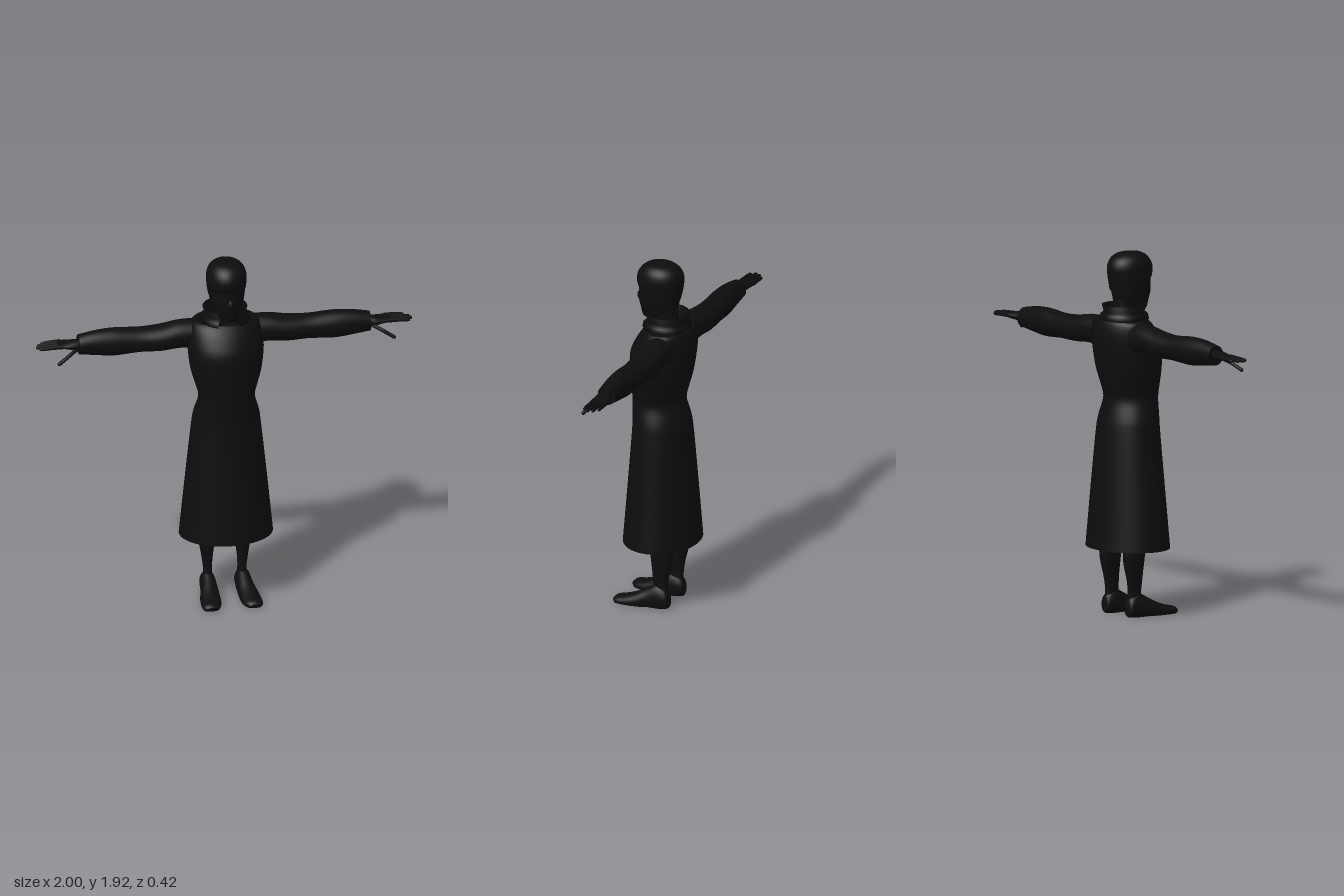
import * as THREE from 'three';

// Axis layout: along, u and v component indices (u x v = along)
const AXES = { x: [0, 1, 2], y: [1, 2, 0], z: [2, 0, 1] };

// Smooth elliptical loft. Each ring: [along, uMin, uMax, vMin, vMax].
function loft(axis, rings, { sub = 4, seg = 32, caps = [true, true] } = {}) {
  const [ia, iu, iv] = AXES[axis];
  const pos = [], index = [], rows = [];
  const steps = (rings.length - 1) * sub;
  const at = (k, t) => {
    const i = Math.min(Math.floor(t), rings.length - 2), f = t - i;
    const p = (j) => rings[Math.max(0, Math.min(rings.length - 1, j))][k];
    const m0 = (p(i + 1) - p(i - 1)) / 2, m1 = (p(i + 2) - p(i)) / 2, d = p(i + 1) - p(i);
    return p(i) + f * m0 + f * f * (3 * d - 2 * m0 - m1) + f * f * f * (m0 + m1 - 2 * d);
  };
  const vertex = (a, u, v) => {
    const p = [0, 0, 0];
    p[ia] = a; p[iu] = u; p[iv] = v;
    pos.push(...p);
  };
  const ring = (r) => {
    for (let j = 0; j < seg; j++) {
      const a = (j / seg) * Math.PI * 2;
      vertex(r[0], (r[1] + r[2]) / 2 + Math.cos(a) * (r[2] - r[1]) / 2,
        (r[3] + r[4]) / 2 + Math.sin(a) * (r[4] - r[3]) / 2);
    }
  };
  for (let s = 0; s <= steps; s++) {
    const r = [0, 1, 2, 3, 4].map((k) => at(k, s / sub));
    rows.push(r);
    ring(r);
  }
  for (let s = 0; s < steps; s++) for (let j = 0; j < seg; j++) {
    const a = s * seg + j, b = s * seg + (j + 1) % seg;
    index.push(a, b, b + seg, a, b + seg, a + seg);
  }
  // Flat end caps with their own rim
  [rows[0], rows[steps]].forEach((r, end) => {
    if (!caps[end]) return;
    const start = pos.length / 3;
    ring(r);
    vertex(r[0], (r[1] + r[2]) / 2, (r[3] + r[4]) / 2);
    for (let j = 0; j < seg; j++) {
      const a = start + j, b = start + (j + 1) % seg;
      index.push(start + seg, end ? a : b, end ? b : a);
    }
  });
  const g = new THREE.BufferGeometry();
  g.setAttribute('position', new THREE.Float32BufferAttribute(pos, 3));
  g.setIndex(index);
  g.computeVertexNormals();
  return g;
}

export function createModel() {
  const model = new THREE.Group();
  model.name = 'coatedFigure';
  const black = new THREE.MeshStandardMaterial({ color: 0x0d0d0d, side: THREE.DoubleSide });
  black.name = 'nearBlack';
  const add = (parent, name, geometry) => {
    const mesh = new THREE.Mesh(geometry, black);
    mesh.name = name;
    parent.add(mesh);
    return mesh;
  };

  // Long coat, open at the hem
  add(model, 'coat', loft('y', [
    [0.36, -0.21, 0.19, -0.248, 0.248],
    [0.70, -0.185, 0.165, -0.214, 0.214],
    [0.98, -0.163, 0.146, -0.184, 0.184],
    [1.06, -0.15, 0.145, -0.172, 0.172],
    [1.15, -0.13, 0.15, -0.148, 0.148],
    [1.22, -0.142, 0.153, -0.163, 0.163],
    [1.31, -0.165, 0.156, -0.188, 0.188],
    [1.42, -0.182, 0.155, -0.2, 0.2],
    [1.50, -0.186, 0.12, -0.196, 0.196],
    [1.55, -0.178, 0.085, -0.185, 0.185],
    [1.57, -0.168, 0.065, -0.165, 0.165],
  ], { seg: 48, caps: [false, true] }));

  // Turned-up collar, open at the front
  const collarProfile = [[0.09, 1.56], [0.13, 1.57], [0.125, 1.595], [0.107, 1.61],
    [0.117, 1.645], [0.1, 1.645], [0.09, 1.56]].map(([r, y]) => new THREE.Vector2(r, y));
  add(model, 'collar', new THREE.LatheGeometry(collarProfile, 40, 0.45, Math.PI * 2 - 0.9))
    .position.z = -0.035;

  // Neck, face and hair
  const head = new THREE.Group();
  head.name = 'head';
  model.add(head);
  add(head, 'neck', loft('y', [
    [1.54, -0.11, 0.03, -0.065, 0.065],
    [1.62, -0.095, 0.03, -0.06, 0.06],
    [1.70, -0.095, 0.04, -0.065, 0.065],
  ]));
  add(head, 'face', loft('y', [
    [1.605, 0.02, 0.085, -0.025, 0.025],
    [1.62, -0.03, 0.104, -0.053, 0.053],
    [1.66, -0.085, 0.112, -0.073, 0.073],
    [1.71, -0.1, 0.122, -0.089, 0.089],
    [1.77, -0.11, 0.12, -0.097, 0.097],
    [1.84, -0.11, 0.12, -0.097, 0.097],
  ]));
  add(head, 'hair', loft('y', [
    [1.72, -0.102, 0.03, -0.088, 0.088],
    [1.765, -0.115, 0.105, -0.1, 0.1],
    [1.80, -0.122, 0.129, -0.104, 0.104],
    [1.845, -0.125, 0.13, -0.105, 0.105],
    [1.885, -0.108, 0.11, -0.092, 0.092],
    [1.912, -0.07, 0.075, -0.062, 0.062],
    [1.921, -0.025, 0.035, -0.02, 0.02],
  ]));
  const nose = add(head, 'nose', new THREE.SphereGeometry(1, 16, 12));
  nose.scale.set(0.016, 0.028, 0.024);
  nose.position.set(0, 1.715, 0.115);

  for (const side of [1, -1]) {
    const half = new THREE.Group();
    half.name = side > 0 ? 'leftLimbs' : 'rightLimbs';
    half.scale.x = side;
    model.add(half);

    // Sleeve with elbow bulge and cuff
    add(half, 'sleeve', loft('x', [
      [0.15, 1.41, 1.567, -0.14, 0.012],
      [0.24, 1.416, 1.565, -0.143, 0.012],
      [0.34, 1.408, 1.548, -0.145, 0.014],
      [0.45, 1.41, 1.542, -0.138, 0.004],
      [0.58, 1.402, 1.552, -0.13, 0.002],
      [0.68, 1.412, 1.547, -0.12, -0.004],
      [0.775, 1.425, 1.53, -0.112, -0.012],
    ]));

    // Palm, fingers and thumb
    const hand = new THREE.Group();
    hand.name = 'hand';
    half.add(hand);
    add(hand, 'palm', loft('x', [
      [0.75, 1.445, 1.51, -0.09, -0.03],
      [0.80, 1.452, 1.505, -0.1, -0.02],
      [0.85, 1.462, 1.498, -0.114, -0.024],
      [0.885, 1.467, 1.493, -0.116, -0.026],
    ], { seg: 20 }));
    [[-0.035, 0.985], [-0.06, 1], [-0.085, 0.99], [-0.109, 0.965]].forEach(([z, tip]) => {
      add(hand, 'finger', loft('x', [
        [0.86, 1.47, 1.493, z - 0.012, z + 0.012],
        [0.92, 1.47, 1.49, z - 0.01, z + 0.01],
        [tip - 0.01, 1.468, 1.486, z - 0.009, z + 0.009],
        [tip, 1.473, 1.481, z - 0.004, z + 0.004],
      ], { seg: 10, sub: 3 }));
    });
    const thumbPath = new THREE.CatmullRomCurve3([
      new THREE.Vector3(0.78, 1.465, -0.04), new THREE.Vector3(0.83, 1.442, -0.008),
      new THREE.Vector3(0.89, 1.408, 0.016)]);
    add(hand, 'thumb', new THREE.TubeGeometry(thumbPath, 12, 0.01, 10));
    add(hand, 'thumbTip', new THREE.SphereGeometry(0.01, 10, 8)).position.set(0.89, 1.408, 0.016);

    // Leg
    add(half, 'leg', loft('y', [
      [0.04, -0.085, 0.005, 0.06, 0.125],
      [0.12, -0.083, 0.0, 0.068, 0.114],
      [0.20, -0.092, 0.005, 0.066, 0.122],
      [0.30, -0.113, 0.014, 0.052, 0.138],
      [0.42, -0.11, 0.025, 0.044, 0.15],
      [0.60, -0.1, 0.05, 0.03, 0.16],
      [0.85, -0.1, 0.07, 0.01, 0.165],
    ]));

    // Foot, flattened onto the ground and turned slightly outward
    const foot = loft('z', [
      [-0.092, 0.072, 0.11, 0.012, 0.06],
      [-0.08, 0.058, 0.127, 0, 0.1],
      [-0.03, 0.052, 0.135, -0.02, 0.13],
      [0.03, 0.05, 0.142, -0.02, 0.102],
      [0.09, 0.05, 0.156, -0.02, 0.07],
      [0.15, 0.054, 0.162, -0.015, 0.048],
      [0.195, 0.07, 0.158, -0.008, 0.038],
      [0.213, 0.092, 0.138, 0.008, 0.025],
    ], { seg: 28 });
    const p = foot.attributes.position;
    for (let i = 0; i < p.count; i++) p.setY(i, Math.max(0, p.getY(i)));
    foot.computeVertexNormals();
    add(half, 'foot', foot);
  }
  return model;
}
